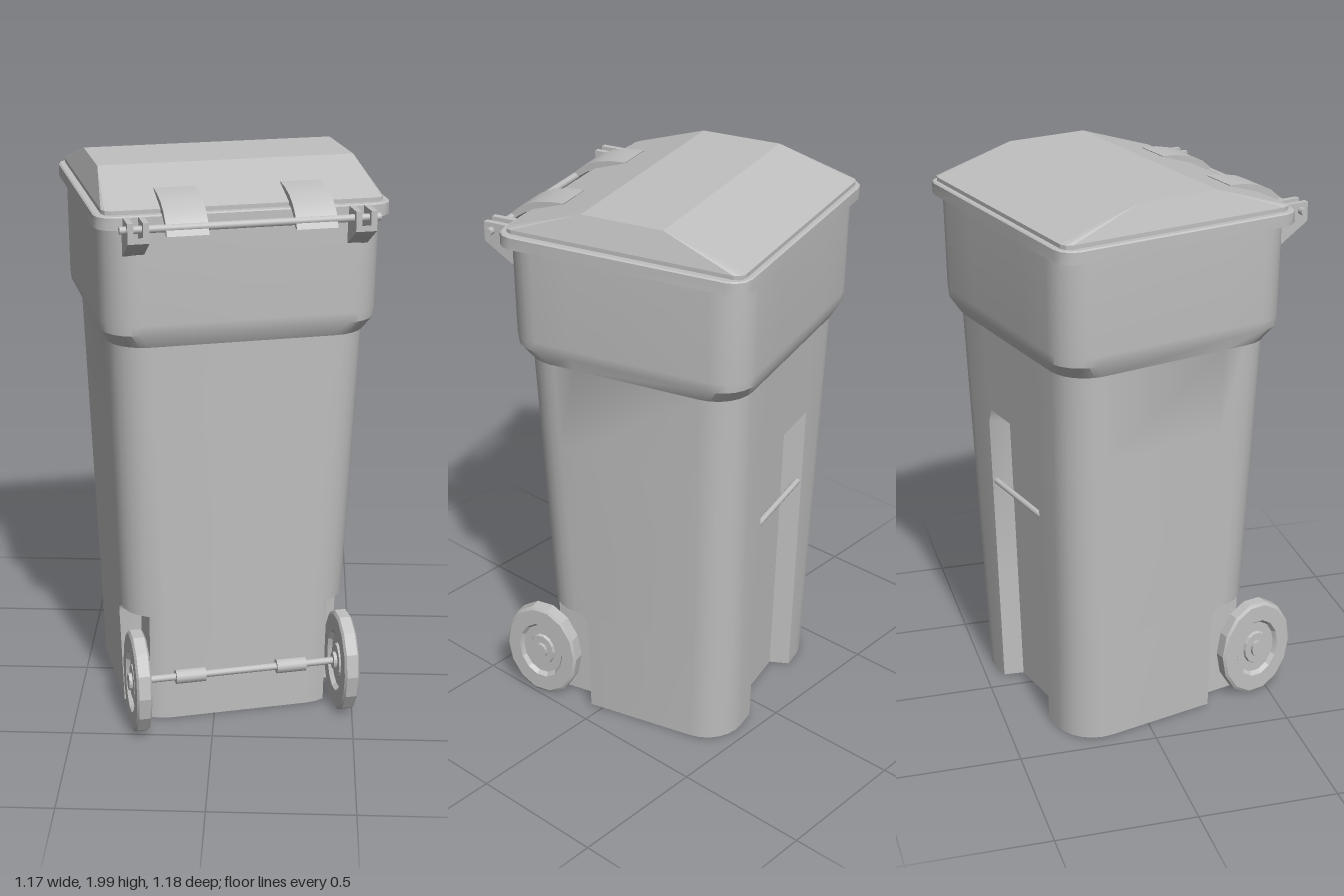
import * as THREE from 'three';
import { toCreasedNormals } from 'three/addons/utils/BufferGeometryUtils.js';
import { ConvexGeometry } from 'three/addons/geometries/ConvexGeometry.js';

const grey = new THREE.MeshStandardMaterial({ color: 0xc0c0c0 });
grey.name = 'grey plastic';

const lerp = THREE.MathUtils.lerp;

// Rounded rectangle outline (x, z) with an optional grip channel at the back
// (depth) and corners cut away for the wheels at the front (cutX, cutZ).
function outline({ a, b, r, n = 6, depth = 0, cutX = a, cutZ = 0.19 }) {
  const half = [[0, -b + depth], [0.155, -b + depth], [0.178, -b]];
  const arc = (sign, i) => {
    const t = (i / n) * Math.PI / 2;
    return [a - r + r * Math.sin(t), sign * (b - r + r * Math.cos(t))];
  };
  for (let i = 0; i <= n; i++) half.push(arc(-1, i));
  half.push([a, cutZ], [cutX, cutZ]);
  for (let i = n; i >= 0; i--) {
    const [x, z] = arc(1, i);
    half.push([Math.min(x, cutX), z]);
  }
  half.push([0, b]);
  return [...half, ...half.slice(1, -1).reverse().map(([x, z]) => [-x, z])];
}

// Skin a stack of outlines and close both ends
function loft(levels, crease = 0.5) {
  const rings = levels.map((l) => outline(l).map(([x, z]) => [x, l.y, z]));
  const pos = [];
  const tri = (...p) => p.forEach((v) => pos.push(...v));
  for (let k = 0; k < rings.length - 1; k++) {
    const lo = rings[k], up = rings[k + 1];
    for (let i = 0; i < lo.length; i++) {
      const j = (i + 1) % lo.length;
      tri(lo[i], up[i], lo[j]);
      tri(lo[j], up[i], up[j]);
    }
  }
  [rings[0], rings[rings.length - 1]].forEach((ring, top) => {
    const flat = ring.map(([x, , z]) => new THREE.Vector2(x, z));
    for (const [i, j, k] of THREE.ShapeUtils.triangulateShape(flat, [])) {
      if (top) tri(ring[i], ring[k], ring[j]);
      else tri(ring[i], ring[j], ring[k]);
    }
  });
  const g = new THREE.BufferGeometry();
  g.setAttribute('position', new THREE.Float32BufferAttribute(pos, 3));
  return toCreasedNormals(g, crease);
}

// Side profile (z, y) extruded from x0 to x1
function prism(points, x0, x1) {
  const shape = new THREE.Shape(points.map(([z, y]) => new THREE.Vector2(z, y)));
  const g = new THREE.ExtrudeGeometry(shape, { depth: x1 - x0, bevelEnabled: false });
  return toCreasedNormals(g.rotateY(-Math.PI / 2).translate(x1, 0, 0), 0.6);
}

// Round bar along x
function bar(radius, length, x, y, z, sides = 12) {
  return new THREE.CylinderGeometry(radius, radius, length, sides)
    .rotateZ(Math.PI / 2).translate(x, y, z);
}

export function createModel() {
  const model = new THREE.Group();
  const bin = new THREE.Group();
  bin.name = 'bin';
  bin.rotation.y = THREE.MathUtils.degToRad(15);
  model.add(bin);

  const add = (name, geometry, parent = bin) => {
    const m = new THREE.Mesh(geometry, grey);
    m.name = name;
    parent.add(m);
    return m;
  };

  const shell = new THREE.Group();
  shell.name = 'shell';
  shell.position.set(0.005, 0, -0.037);
  bin.add(shell);

  // Tapered body with grip channel, wheel wells and flared collar
  const at = (y, extra) => {
    const t = (y - 0.01) / 1.425;
    return { y, a: lerp(0.392, 0.444, t), b: lerp(0.362, 0.405, t), r: lerp(0.14, 0.13, t), ...extra };
  };
  const depth = 0.07, cutX = 0.325, archR = 0.045;
  const levels = [at(0.01, { depth, cutX })];
  for (let i = 0; i <= 5; i++) {
    const t = (i / 5) * Math.PI / 2;
    levels.push(at(0.42 - archR + archR * Math.sin(t),
      { depth, cutX, cutZ: 0.19 + archR * (1 - Math.cos(t)) }));
  }
  levels.push(
    at(0.42, { depth, cutZ: 0.19 + archR }), at(1.07, { depth }), at(1.12), at(1.435),
    { y: 1.435, a: 0.45, b: 0.411, r: 0.13 },
    { y: 1.485, a: 0.475, b: 0.438, r: 0.12 },
    { y: 1.52, a: 0.478, b: 0.441, r: 0.12 },
    { y: 1.855, a: 0.481, b: 0.445, r: 0.12 },
  );
  add('body', loft(levels), shell);
  add('gripBar', bar(0.011, 0.352, 0, 0.83, -0.372), shell);

  // Lid: flat rim with a faceted roof
  const rim = { a: 0.5, b: 0.455, r: 0.065, n: 3 };
  add('lidRim', loft([
    { ...rim, y: 1.851 }, { ...rim, y: 1.892 },
    { y: 1.896, a: 0.495, b: 0.45, r: 0.06, n: 3 },
  ], 0.6), shell);
  const roof = [];
  for (const y of [1.89, 1.91]) {
    for (const [x, z] of outline({ a: 0.475, b: 0.433, r: 0.03, n: 2 })) {
      roof.push(new THREE.Vector3(x, y, z - 0.004));
    }
  }
  for (const x of [-0.444, 0.444]) {
    for (const z of [-0.147, 0.151]) roof.push(new THREE.Vector3(x, 2, z));
  }
  add('lidRoof', new ConvexGeometry(roof), shell);

  // Hinge: rod, brackets and curved straps
  add('hingeRod', bar(0.013, 0.87, 0.005, 1.866, 0.475));
  const strap = [[0.27, 1.952], [0.33, 1.948], [0.39, 1.935], [0.44, 1.912], [0.475, 1.882],
    [0.497, 1.842], [0.477, 1.842], [0.455, 1.872], [0.42, 1.895], [0.37, 1.905], [0.28, 1.935]];
  const cheek = [[0.38, 1.893], [0.503, 1.893], [0.503, 1.825], [0.4, 1.76], [0.38, 1.76]];
  const floor = [[0.503, 1.845], [0.503, 1.825], [0.4, 1.76], [0.38, 1.76], [0.38, 1.78]];
  for (const side of [-1, 1]) {
    const place = (name, profile, mid, width) =>
      add(name, prism(profile, 0.006 + side * mid - width / 2, 0.006 + side * mid + width / 2));
    place('hingeStrap', strap, 0.215, 0.14);
    place('bracketOuterCheek', cheek, 0.404, 0.02);
    place('bracketInnerCheek', cheek, 0.353, 0.02);
    place('bracketFloor', floor, 0.378, 0.04);
  }

  // Axle with two sleeves
  const axleY = 0.192, axleZ = 0.36;
  add('axle', bar(0.013, 0.76, 0.003, axleY, axleZ));
  for (const x of [-0.182, 0.188]) add('axleSleeve', bar(0.026, 0.108, x, axleY, axleZ));

  // Dished wheels, slightly narrower front to back
  const face = [[0, 0.034], [0.032, 0.034], [0.032, 0.022], [0.062, 0.022], [0.066, 0.012],
    [0.104, 0.012], [0.116, 0.027], [0.178, 0.027], [0.19, 0.02]];
  const profile = [...face.map(([r, h]) => [r, -h]), ...face.slice().reverse()]
    .map(([r, h]) => new THREE.Vector2(r, h));
  const wheel = toCreasedNormals(
    new THREE.LatheGeometry(profile, 14).rotateZ(Math.PI / 2).scale(1, 1, 0.78), 0.3);
  for (const side of [-1, 1]) {
    add(side > 0 ? 'leftWheel' : 'rightWheel', wheel)
      .position.set(0.003 + side * 0.376, axleY, axleZ);
  }

  return model;
}
